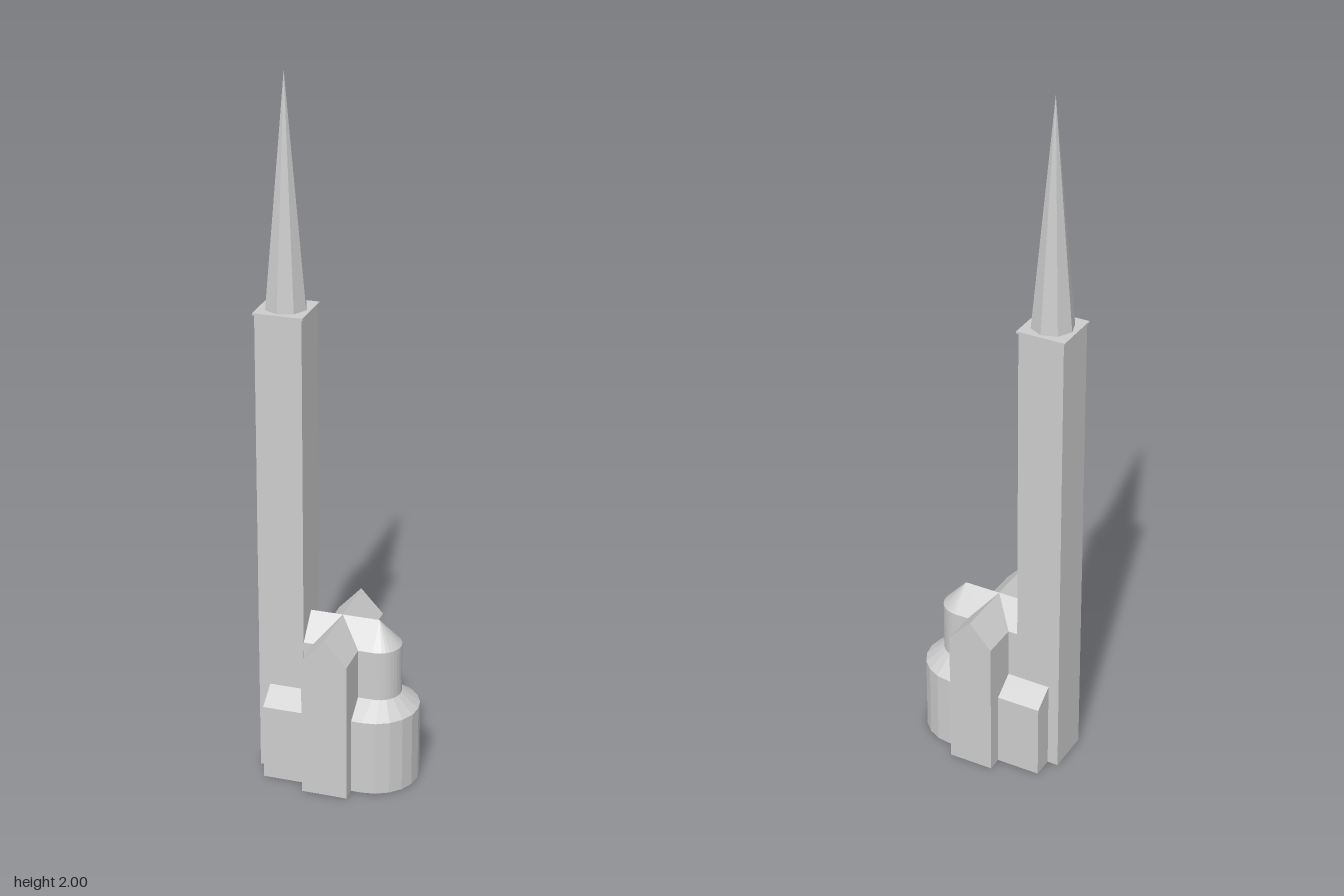
import * as THREE from 'three';

const stone = new THREE.MeshStandardMaterial({ color: 0xcccccc, flatShading: true });
stone.name = 'pale grey stone';

function part(name, geometry, x = 0, y = 0, z = 0) {
  const mesh = new THREE.Mesh(geometry, stone);
  mesh.name = name;
  mesh.position.set(x, y, z);
  return mesh;
}

// Symmetric cross-section (right half, bottom to top) extruded along z
function hall(half, length) {
  const left = half.map(([x, y]) => [-x, y]).reverse().filter(([x]) => x !== 0);
  const shape = new THREE.Shape([...half, ...left].map(([x, y]) => new THREE.Vector2(x, y)));
  return new THREE.ExtrudeGeometry(shape, { depth: length, bevelEnabled: false });
}

// Half-round ring, with straight sides running back to x = start
function apseRing(start, centre, radius, y, segments) {
  const ring = [[start, y, -radius]];
  for (let i = 0; i <= segments; i++) {
    const a = -Math.PI / 2 + (Math.PI * i) / segments;
    ring.push([centre + radius * Math.cos(a), y, radius * Math.sin(a)]);
  }
  ring.push([start, y, radius]);
  return ring;
}

// Skin joining rings from the floor up
function loft(rings) {
  const pos = [];
  for (let r = 0; r < rings.length - 1; r++) {
    const b = rings[r], t = rings[r + 1];
    for (let i = 0; i < b.length - 1; i++) {
      pos.push(...b[i], ...t[i], ...t[i + 1], ...b[i], ...t[i + 1], ...b[i + 1]);
    }
  }
  const g = new THREE.BufferGeometry();
  g.setAttribute('position', new THREE.Float32BufferAttribute(pos, 3));
  g.computeVertexNormals();
  return g;
}

export function createModel() {
  const church = new THREE.Group();
  church.name = 'church';

  // Crossing halls with gabled roofs
  const gable = [[0.065, 0], [0.065, 0.41], [0, 0.48]];
  church.add(part('transept', hall(gable, 0.337), 0, 0, -0.1685));
  church.add(part('nave', hall(gable, 0.16).rotateY(Math.PI / 2), -0.16));

  // Low aisles with lean-to roofs on both sides of the nave
  const aisle = [[0.126, 0], [0.126, 0.222], [0.064, 0.265]];
  church.add(part('sideAisles', hall(aisle, 0.192).rotateY(Math.PI / 2), -0.192));

  // Choir ending in a half-round apse with a half-cone roof
  church.add(part('choir', loft([
    apseRing(0, 0.106, 0, 0, 16),
    apseRing(0, 0.106, 0.064, 0, 16),
    apseRing(0, 0.106, 0.064, 0.41, 16),
    apseRing(0, 0.106, 0, 0.48, 16),
  ])));

  // Low ambulatory wrapped around the apse
  church.add(part('ambulatory', loft([
    apseRing(0.03, 0.095, 0, 0, 10),
    apseRing(0.03, 0.095, 0.126, 0, 10),
    apseRing(0.03, 0.095, 0.126, 0.222, 10),
    apseRing(0.03, 0.106, 0.063, 0.265, 10),
  ])));

  // Tower with thin overhanging cap and octagonal spire
  const tx = -0.158;
  church.add(part('tower', new THREE.BoxGeometry(0.131, 1.357, 0.131), tx, 0.6785));
  church.add(part('towerCap', new THREE.BoxGeometry(0.14, 0.006, 0.14), tx, 1.36));
  const spire = part('spire', new THREE.ConeGeometry(0.0585, 0.637, 8), tx, 1.6815);
  spire.rotation.y = Math.PI / 8 + 0.3;
  church.add(spire);

  church.rotation.y = -0.3;
  church.position.x = 0.011;
  const model = new THREE.Group();
  model.name = 'churchModel';
  model.add(church);
  return model;
}
